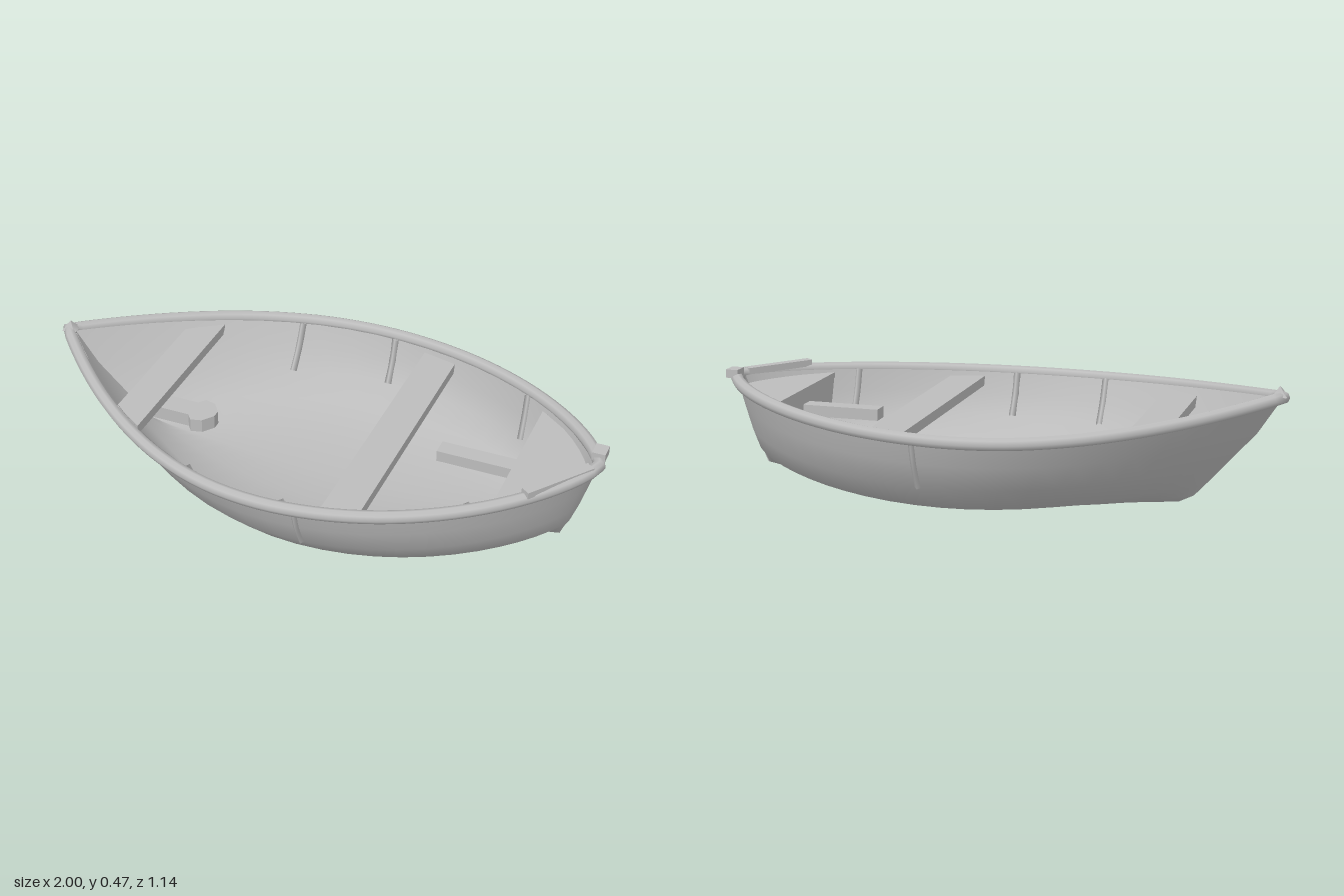
import * as THREE from 'three';

const grey = new THREE.MeshStandardMaterial({ color: 0xbcbcbc });
grey.name = 'weathered grey';
grey.side = THREE.DoubleSide;

// Long lines of the hull: [bow x, stern x, half width, mid y, bow rise, stern rise]
const LINES = [
  [-0.64, 0.87, 0, 0, 0.045, 0.07],          // keel
  [-0.69, 0.885, 0.21, 0.037, 0.033, 0.07],  // garboard
  [-0.745, 0.9, 0.4, 0.075, 0.055, 0.06],    // chine
  [-0.815, 0.925, 0.478, 0.16, 0.05, 0.045], // bilge
  [-0.895, 0.95, 0.522, 0.25, 0.05, 0.04],   // side
  [-0.977, 0.977, 0.549, 0.338, 0.09, 0.045] // gunwale
];
const RIM = 5;

// Point on a hull line; s runs from -1 (bow) to 1 (stern). The inner floor is lifted.
function hullPoint(s, k, side = 1, inset = 0) {
  const [x0, x1, w, y, riseBow, riseStern] = LINES[k];
  const mid = (x0 + x1) / 2, half = (x1 - x0) / 2 - inset;
  const full = Math.pow(Math.max(0, 1 - s * s), s < 0 ? 1 : 0.75);
  const width = Math.max(0, w - inset) * full;
  const lift = inset * (1 - k / RIM) * 2.4;
  return new THREE.Vector3(mid + s * half, y + (s < 0 ? riseBow : riseStern) * s * s + lift, side * width);
}

// Point on a hull line at a given x
function hullPointAt(x, k, side, inset) {
  const [x0, x1] = LINES[k];
  return hullPoint((x - (x0 + x1) / 2) / ((x1 - x0) / 2 - inset), k, side, inset);
}

function add(group, name, geometry, x = 0, y = 0, z = 0) {
  const mesh = new THREE.Mesh(geometry, grey);
  mesh.name = name;
  mesh.position.set(x, y, z);
  group.add(mesh);
  return mesh;
}

// Skin lofted through the cross-sections; inner skin is wound the other way
function shell(inset, inward) {
  const N = 28, M = RIM * 2 + 1, pos = [], index = [];
  for (let i = 0; i <= N; i++) {
    const s = -Math.cos((i / N) * Math.PI);
    for (let j = -RIM; j <= RIM; j++) pos.push(...hullPoint(s, Math.abs(j), Math.sign(j), inset).toArray());
  }
  for (let i = 0; i < N; i++) {
    for (let j = 0; j < M - 1; j++) {
      const a = i * M + j, b = a + 1, c = a + M, d = c + 1;
      if (inward) index.push(a, b, c, b, d, c);
      else index.push(a, c, b, b, c, d);
    }
  }
  const g = new THREE.BufferGeometry();
  g.setAttribute('position', new THREE.Float32BufferAttribute(pos, 3));
  g.setIndex(index);
  g.computeVertexNormals();
  return g;
}

// Flat board from an outline of points
function board(points, depth) {
  const shape = new THREE.Shape(points.map(p => new THREE.Vector2(...p)));
  return new THREE.ExtrudeGeometry(shape, { depth, bevelEnabled: false });
}

// Horizontal board, symmetrical along its middle: [x, half width] pairs, with its top at y
function addPlank(group, name, halfWidths, top, thickness, z = 0) {
  const outline = [...halfWidths.map(([x, w]) => [x, -w]), ...halfWidths.map(([x, w]) => [x, w]).reverse()];
  add(group, name, board(outline, thickness), 0, top, z).rotation.x = Math.PI / 2;
}

export function createModel() {
  const boat = new THREE.Group();
  boat.name = 'rowingBoat';

  add(boat, 'hullOutside', shell(0, false));
  add(boat, 'hullInside', shell(0.03, true));

  // Rounded gunwale running all the way round
  const rim = [];
  for (const side of [1, -1]) {
    for (let i = 0; i < 16; i++) {
      const s = -Math.cos((i / 16) * Math.PI) * side;
      rim.push(hullPoint(s, RIM, side));
    }
  }
  const rimPath = new THREE.CatmullRomCurve3(rim, true);
  add(boat, 'gunwale', new THREE.TubeGeometry(rimPath, 96, 0.022, 8, true));

  // Upright ribs on the sides, inside and outside
  const rib = (name, x, side, inset, r, lines) => {
    const pts = lines.map(k => hullPointAt(x, k, side, inset));
    add(boat, name, new THREE.TubeGeometry(new THREE.CatmullRomCurve3(pts), 8, r, 4));
  };
  for (const side of [1, -1]) {
    for (const x of [-0.27, 0.08, 0.64]) rib('innerRib', x, side, 0.03, 0.014, [3, 4, 5]);
    rib('outerRib', 0.13, side, 0, 0.01, [3, 4, 5]);
  }

  // Cross benches, tapered to meet the sides
  addPlank(boat, 'rearBench', [[0.2, 0.495], [0.325, 0.465]], 0.325, 0.035);
  addPlank(boat, 'frontBench', [[-0.645, 0.265], [-0.525, 0.345]], 0.355, 0.035);

  // Stern locker: bulkhead and deck
  const bulkhead = board([[-0.26, 0.35], [-0.225, 0.24], [-0.17, 0.14], [0, 0.1],
    [0.17, 0.14], [0.225, 0.24], [0.26, 0.35]], 0.02);
  add(boat, 'sternBulkhead', bulkhead, 0.71).rotation.y = Math.PI / 2;
  addPlank(boat, 'sternDeck', [[0.71, 0.265], [0.84, 0.165], [0.935, 0.03]], 0.355, 0.02);

  // Bar reaching forward from the stern, and the bow bar with its splayed foot
  addPlank(boat, 'sternBar', [[0.43, 0.03], [0.71, 0.03]], 0.3, 0.04, -0.01);
  addPlank(boat, 'bowBar', [[-0.69, 0.02], [-0.64, 0.04], [-0.5, 0.04], [-0.48, 0.065],
    [-0.44, 0.055], [-0.41, 0.015]], 0.2, 0.05, -0.015);

  // Small fittings at both ends
  const peak = add(boat, 'bowPeak', new THREE.ConeGeometry(0.035, 0.035, 4), -0.965, 0.449, 0);
  peak.rotation.y = Math.PI / 4;
  const ledge = add(boat, 'sternLedge', new THREE.BoxGeometry(0.26, 0.024, 0.035), 0.88, 0.392, 0.14);
  ledge.rotation.y = 0.92;
  add(boat, 'sternFitting', new THREE.BoxGeometry(0.045, 0.03, 0.055), 0.968, 0.402, -0.045);
  return boat;
}
